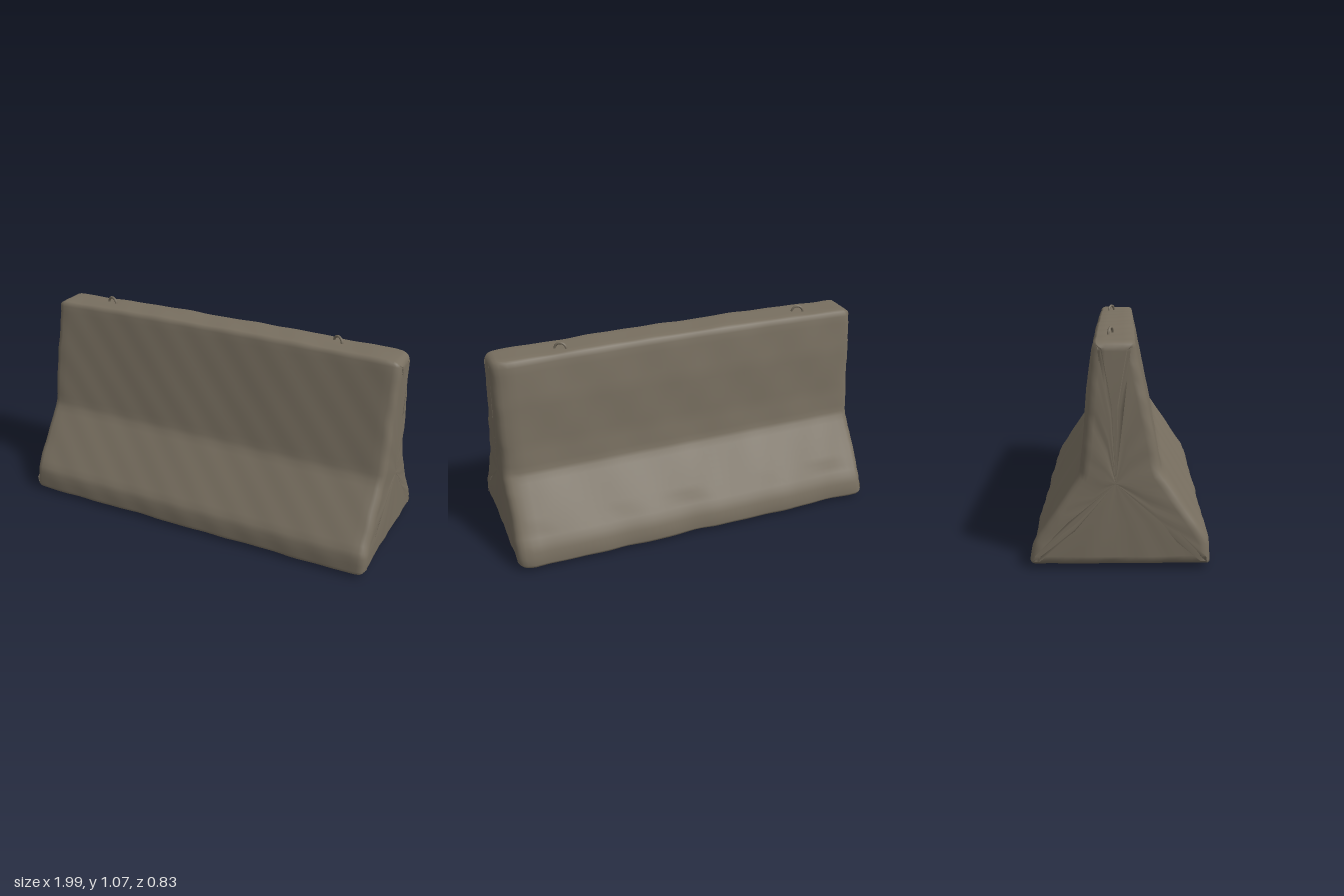
import * as THREE from 'three';

const concrete = new THREE.MeshStandardMaterial({ color: 0x786f60 });
concrete.name = 'concrete';

// Barrier cross-section as [z, y]: up the front, over the top, down the back
const PROFILE = [
  [0.395, 0.016], [0.408, 0.024], [0.41, 0.04], [0.406, 0.115], [0.396, 0.145],
  [0.19, 0.447], [0.181, 0.475], [0.07, 1.01], [0.064, 1.027], [0.05, 1.034],
  [-0.105, 1.034], [-0.118, 1.026], [-0.126, 1.0], [-0.15, 0.82], [-0.166, 0.58],
  [-0.183, 0.45], [-0.192, 0.428], [-0.385, 0.135], [-0.4, 0.1], [-0.41, 0.035],
  [-0.405, 0.022], [-0.39, 0.016],
];
const CENTRE = [-0.02, 0.4];

// Splits long profile edges and gives every point an outward normal
function denseProfile(step) {
  const pts = [];
  PROFILE.forEach((a, k) => {
    const b = PROFILE[(k + 1) % PROFILE.length];
    const n = Math.max(1, Math.round(Math.hypot(b[0] - a[0], b[1] - a[1]) / step));
    for (let s = 0; s < n; s++) {
      pts.push([a[0] + (b[0] - a[0]) * s / n, a[1] + (b[1] - a[1]) * s / n]);
    }
  });
  return pts.map(([z, y], k) => {
    const p = pts[(k + pts.length - 1) % pts.length], q = pts[(k + 1) % pts.length];
    const tz = q[0] - p[0], ty = q[1] - p[1], l = Math.hypot(tz, ty);
    return { z, y, nz: ty / l, ny: -tz / l };
  });
}

// Smooth lumps of worn concrete
const lumps = (x, y, z) =>
  0.0016 * Math.sin(9 * x + 5 * y + 3 * z) + 0.0014 * Math.sin(17 * x - 13 * y + 7 * z + 1) +
  0.001 * Math.sin(31 * x + 23 * y - 19 * z + 2);

function bodyGeometry() {
  const profile = denseProfile(0.035);
  // Stations along the length: x, inset of the outline, shrink towards the centre
  const end = [[0.991, 0, 1], [0.992, 0.08, 0.4], [0.991, 0.045, 0], [0.988, 0.029, 0],
    [0.98, 0.015, 0], [0.968, 0.006, 0], [0.95, 0.001, 0]];
  const stations = end.map(([x, i, s]) => [-x, i, s]);
  for (let k = 1; k < 50; k++) stations.push([-0.95 + 1.9 * k / 50, 0, 0]);
  stations.push(...end.slice().reverse());

  const pos = [], index = [], n = profile.length;
  stations.forEach(([x, inset, shrink], i) => {
    profile.forEach((p, j) => {
      let z = p.z - p.nz * inset, y = p.y - p.ny * inset;
      z += (CENTRE[0] - z) * shrink;
      y += (CENTRE[1] - y) * shrink;
      const bump = lumps(x, y, z) * (1 - shrink);
      // Raised middle of the top, sagging underside, back narrowed at the left end
      const top = 0.012 * (1 - x * x) * THREE.MathUtils.smoothstep(y, 0.7, 1.03);
      const sag = 0.012 * (1 - x * x) * (1 - z * z / 0.17) * (1 - THREE.MathUtils.smoothstep(y, 0, 0.12));
      const taper = z < -0.03 ? 0.02 * THREE.MathUtils.smoothstep(x, 0.9, 1) * (1 - shrink) : 0;
      // A few chips along the lower back edge
      const chip = z < -0.33 ? 0.007 * Math.max(0, Math.sin(11 * x + 0.8) * Math.sin(4 * x + 2)) : 0;
      pos.push(
        x + (Math.abs(x) > 0.94 ? lumps(y * 2, z * 2, x) : 0),
        Math.max(0, y + p.ny * bump + top - sag),
        z + p.nz * bump + taper + chip,
      );
      if (i < stations.length - 1) {
        const a = i * n + j, b = i * n + (j + 1) % n;
        index.push(a, a + n, b, b, a + n, b + n);
      }
    });
  });
  const g = new THREE.BufferGeometry();
  g.setAttribute('position', new THREE.Float32BufferAttribute(pos, 3));
  g.setIndex(index);
  g.computeVertexNormals();
  return g;
}

// Bent-wire lifting loop
function liftingLoop(name, x, z, turn) {
  const r = 0.03, pts = [new THREE.Vector3(-r, -0.04, 0)];
  for (let k = 0; k <= 8; k++) {
    const a = Math.PI * (1 - k / 8);
    pts.push(new THREE.Vector3(r * Math.cos(a), r * Math.sin(a), 0));
  }
  pts.push(new THREE.Vector3(r, -0.04, 0));
  const geo = new THREE.TubeGeometry(new THREE.CatmullRomCurve3(pts), 28, 0.0065, 8);
  const loop = new THREE.Mesh(geo, concrete);
  loop.name = name;
  loop.position.set(x, 1.037, z);
  loop.rotation.y = turn;
  return loop;
}

export function createModel() {
  const group = new THREE.Group();
  group.name = 'roadBarrier';
  const body = new THREE.Mesh(bodyGeometry(), concrete);
  body.name = 'barrierBody';
  group.add(
    body,
    liftingLoop('rightLiftingLoop', -0.698, -0.045, -0.34),
    liftingLoop('leftLiftingLoop', 0.628, -0.056, -0.53),
  );
  return group;
}
